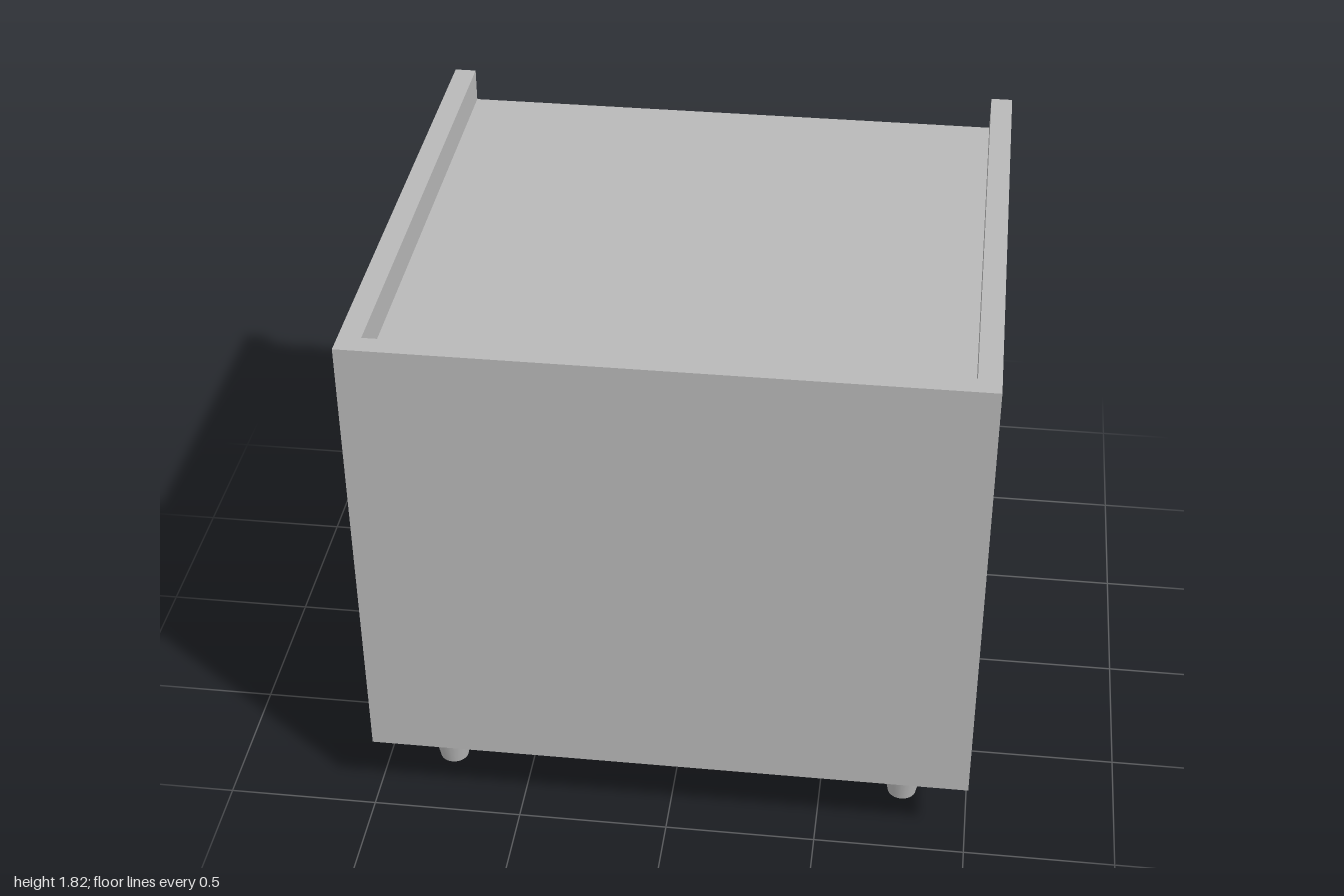
import * as THREE from 'three';

export function createModel() {
  const model = new THREE.Group();
  const grey = new THREE.MeshStandardMaterial({ color: 0xb8b8b8 });
  grey.name = 'grey lacquer';
  const wood = new THREE.MeshStandardMaterial({ color: 0xceac83 });
  wood.name = 'light wood';

  const add = (name, geometry, material, parent = model) => {
    const mesh = new THREE.Mesh(geometry, material);
    mesh.name = name;
    parent.add(mesh);
    return mesh;
  };
  // Box given by its limits on each axis
  const box = (name, [x0, x1], [y0, y1], [z0, z1], material, parent) =>
    add(name, new THREE.BoxGeometry(x1 - x0, y1 - y0, z1 - z0), material, parent)
      .position.set((x0 + x1) / 2, (y0 + y1) / 2, (z0 + z1) / 2);

  const inner = 0.927, bottom = 0.24, top = 1.82;
  const zOpen = -0.9, zWall = 0.885, zEnd = 0.957;

  // Cabinet shell: the drawers open towards -z
  const cabinet = new THREE.Group();
  cabinet.name = 'cabinet';
  model.add(cabinet);
  box('leftSide', [inner, 1], [bottom, top], [zOpen, zEnd], grey, cabinet);
  box('rightSide', [-1, -inner], [bottom, top], [zOpen, zEnd], grey, cabinet);
  box('wallPanel', [-inner, inner], [bottom, top], [zWall, zEnd], grey, cabinet);
  box('topPanel', [-inner, inner], [1.63, 1.705], [zOpen, zWall], grey, cabinet);
  box('bottomPanel', [-inner, inner], [bottom, 0.315], [zOpen, zWall], grey, cabinet);

  // Handle outline seen from above, with bevelled ends
  const outline = new THREE.Shape([[-0.75, 0.89], [0.75, 0.89], [0.745, 0.9], [0.715, 0.96],
    [-0.715, 0.96], [-0.745, 0.9]].map(([x, y]) => new THREE.Vector2(x, y)));
  const handleGeometry = new THREE.ExtrudeGeometry(outline, { depth: 0.045, bevelEnabled: false });
  handleGeometry.rotateX(-Math.PI / 2);

  // Two drawers with a narrow gap all round
  [['lowerDrawer', 0.335], ['upperDrawer', 0.99]].forEach(([name, y]) => {
    const drawer = new THREE.Group();
    drawer.name = name;
    model.add(drawer);
    box('drawerBody', [-0.907, 0.907], [y, y + 0.62], [-0.89, 0.86], wood, drawer);
    add('handle', handleGeometry, grey, drawer).position.y = y + 0.572;
  });

  // Tapered round legs
  const legGeometry = new THREE.CylinderGeometry(0.094, 0.048, bottom, 24);
  for (const x of [-0.78, 0.78]) {
    for (const z of [-0.735, 0.72]) {
      add('leg', legGeometry, grey).position.set(x, bottom / 2, z);
    }
  }
  return model;
}
